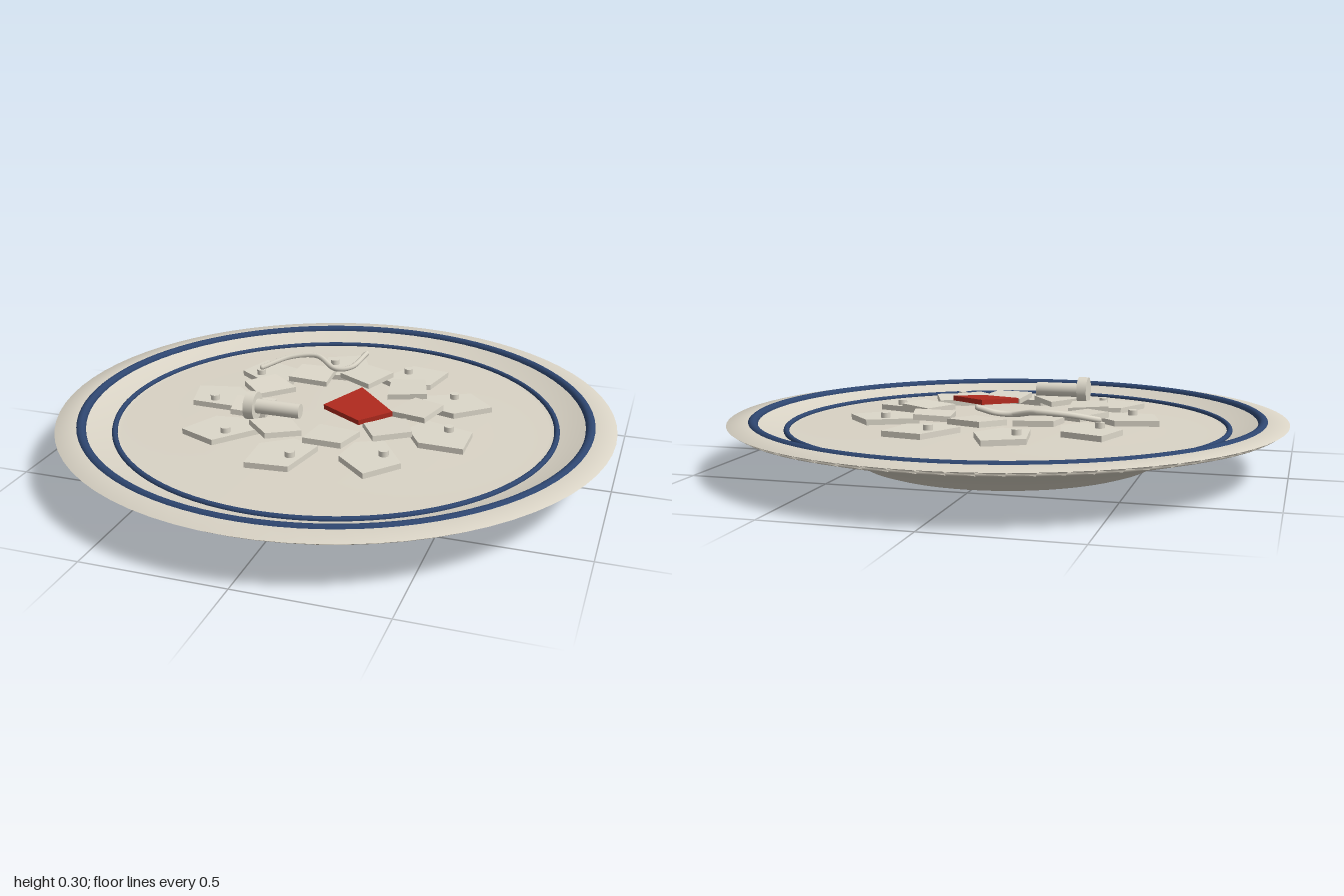
import * as THREE from 'three';

const mat = (name, color) => {
  const m = new THREE.MeshStandardMaterial({ color });
  m.name = name;
  return m;
};

export function createModel() {
  const ceramic = mat('warm ceramic', 0xd9d3c5);
  const bone = mat('pale shard', 0xdcd7c9);
  const blue = mat('blue glaze', 0x2e4670);
  const red = mat('red shard', 0xb02a1e);

  const model = new THREE.Group();
  model.name = 'plateWithShards';
  const add = (parent, name, geometry, material, x = 0, y = 0, z = 0) => {
    const mesh = new THREE.Mesh(geometry, material);
    mesh.name = name;
    mesh.position.set(x, y, z);
    parent.add(mesh);
    return mesh;
  };
  const deg = THREE.MathUtils.degToRad;

  // Flat slab from an outline in x and z, with its top at y = 0
  const slab = (outline, thickness) => {
    const shape = new THREE.Shape(outline.map(([x, z]) => new THREE.Vector2(x, z)));
    return new THREE.ExtrudeGeometry(shape, { depth: thickness, bevelEnabled: false }).rotateX(Math.PI / 2);
  };

  // Plate: foot, flared underside, soft lip, sloping rim and shallow well
  const profile = [
    [0, 0], [0.3, 0.003], [0.46, 0.008], [0.51, 0.013], [0.54, 0.023], [0.575, 0.046],
    [0.62, 0.062], [0.78, 0.11], [0.92, 0.147], [0.975, 0.162], [1, 0.178], [0.92, 0.186],
    [0.89, 0.176], [0.81, 0.147], [0.77, 0.144], [0.55, 0.15], [0.3, 0.156], [0, 0.158],
  ].map(([r, y]) => new THREE.Vector2(r, y));
  add(model, 'plate', new THREE.LatheGeometry(profile, 72), ceramic);

  // Blue glazed bands
  const band = (name, radius, tube, y) =>
    add(model, name, new THREE.TorusGeometry(radius, tube, 10, 96).rotateX(Math.PI / 2), blue, 0, y, 0);
  band('outerBand', 0.91, 0.018, 0.176);
  band('innerBand', 0.795, 0.01, 0.148);

  // Outer ring of five-sided shards, each with a peg
  const outerShape = slab([[-0.08, -0.107], [0.1, -0.052], [0.1, 0.097], [-0.057, 0.091], [-0.12, -0.013]], 0.02);
  const pegShape = new THREE.CylinderGeometry(0.017, 0.017, 0.03, 14);
  const outerTwist = [0, 0, 5, -7, 5, -2, 3, 0, -3];
  outerTwist.forEach((twist, i) => {
    const a = deg(16.3 + i * 40);
    const shard = new THREE.Group();
    shard.name = 'outerShard';
    shard.position.set(0.438 * Math.cos(a), 0.187, 0.438 * Math.sin(a));
    shard.rotation.y = -deg(i * 40 + twist);
    add(shard, 'shardBody', outerShape, bone);
    add(shard, 'peg', pegShape, bone, 0.02, 0.004, -0.037);
    model.add(shard);
  });

  // Inner ring of four-sided shards resting on the outer ones
  const innerShape = slab([[-0.035, -0.091], [0.083, -0.038], [0.046, 0.096], [-0.093, 0.053]], 0.02);
  const innerTwist = [0, 2, -2, 0, -8, 0, 10, -3, 8];
  innerTwist.forEach((twist, i) => {
    const a = deg(-6 + i * 40);
    const shard = add(model, 'innerShard', innerShape, bone, 0.302 * Math.cos(a), 0.212, 0.302 * Math.sin(a));
    shard.rotation.set(0, -deg(i * 40 + twist), deg(3));
  });

  // Red shard, tipped up toward the back
  const redShard = add(model, 'redShard',
    slab([[-0.034, -0.147], [0.126, 0.013], [0.031, 0.109], [-0.125, 0.023]], 0.018), red, 0.109, 0.231, 0.067);
  redShard.rotation.x = deg(4.5);

  // Peg-like stopper lying on its side
  const stopper = new THREE.Group();
  stopper.name = 'stopper';
  stopper.position.set(-0.235, 0.248, 0.22);
  add(stopper, 'stopperHead', new THREE.CylinderGeometry(0.05, 0.05, 0.036, 28).rotateZ(Math.PI / 2), bone);
  add(stopper, 'stopperShaft', new THREE.CylinderGeometry(0.026, 0.026, 0.165, 24).rotateZ(Math.PI / 2), bone, 0.096);
  model.add(stopper);

  // Bent wire rising toward the back
  const path = [[-0.38, -0.23], [-0.29, -0.31], [-0.19, -0.333], [-0.09, -0.27], [-0.035, -0.29], [0, -0.38]]
    .map(([x, z]) => new THREE.Vector3(x, 0.214 + (-z - 0.23) * 0.33, z));
  add(model, 'wire', new THREE.TubeGeometry(new THREE.CatmullRomCurve3(path), 48, 0.01, 8), bone);
  for (const end of [path[0], path[path.length - 1]]) {
    add(model, 'wireEnd', new THREE.SphereGeometry(0.01, 8, 6), bone, end.x, end.y, end.z);
  }

  return model;
}
